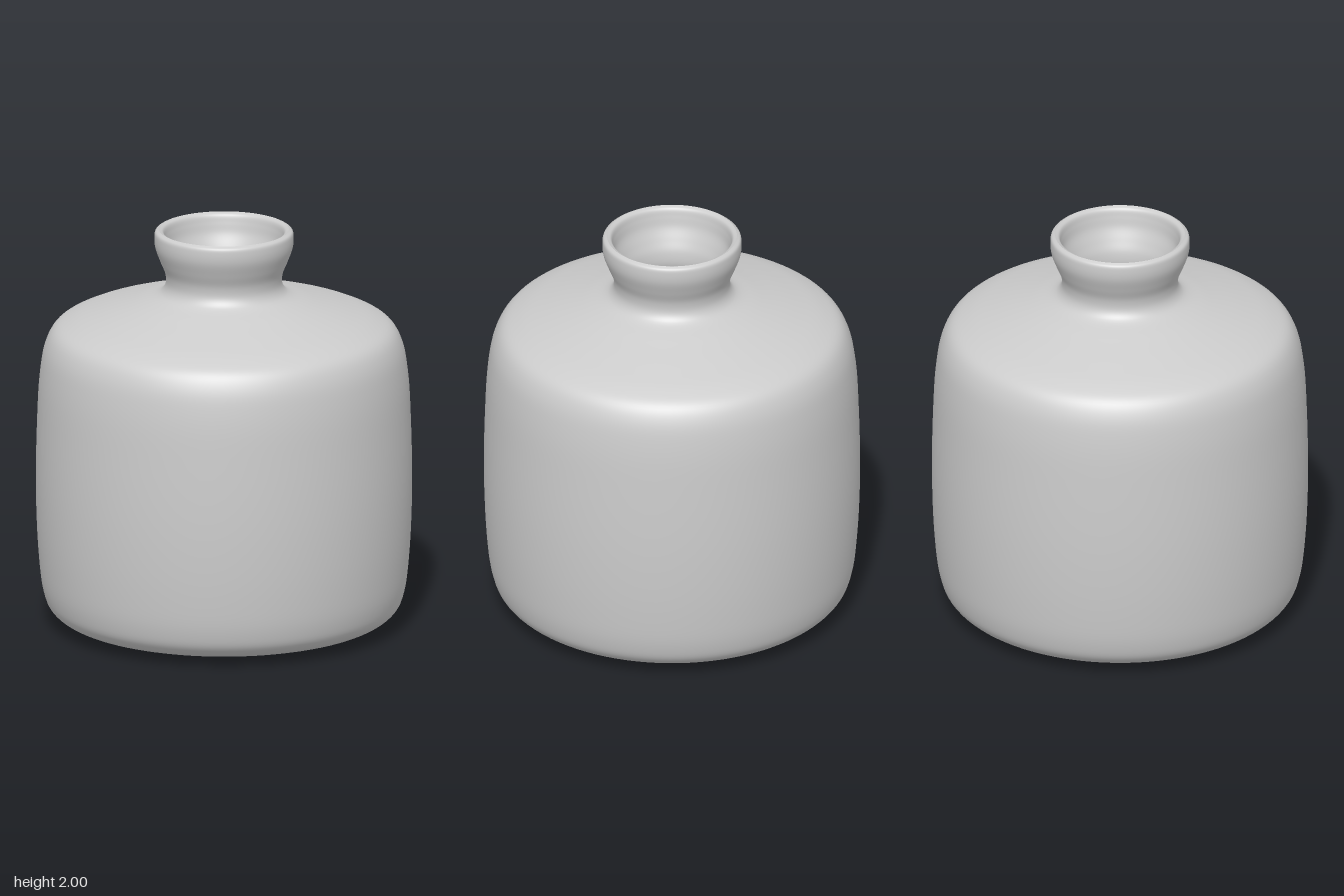
import * as THREE from 'three';

const material = new THREE.MeshStandardMaterial({ color: 0xcccccc });

// Smooth curve through [radius, height] points
function smoothProfile(points, samples) {
  const curve = new THREE.CatmullRomCurve3(
    points.map(([r, y]) => new THREE.Vector3(r, y, 0)), false, 'centripetal');
  return curve.getPoints(samples).map((p) => new THREE.Vector2(Math.max(p.x, 0), p.y));
}

function turned(name, points, samples) {
  const mesh = new THREE.Mesh(
    new THREE.LatheGeometry(smoothProfile(points, samples), 96), material);
  mesh.name = name;
  return mesh;
}

export function createModel() {
  const jar = new THREE.Group();
  jar.name = 'jar';

  // Outside: gently domed base, bulging wall, sloping shoulder, pinched neck, rolled lip
  jar.add(turned('outerWall', [
    [0, 0], [0.33, 0.007], [0.64, 0.023], [0.79, 0.05], [0.855, 0.1], [0.885, 0.18],
    [0.907, 0.36], [0.92, 0.67], [0.915, 1.02], [0.9, 1.28], [0.873, 1.42], [0.83, 1.495],
    [0.75, 1.54], [0.615, 1.585], [0.43, 1.64], [0.315, 1.68], [0.287, 1.72],
    [0.287, 1.775], [0.312, 1.84], [0.337, 1.91], [0.341, 1.96], [0.336, 1.988], [0.318, 2],
  ], 120));

  // Inside: lip, throat and hollow body down to the floor
  jar.add(turned('innerWall', [
    [0.318, 2], [0.298, 1.988], [0.287, 1.95], [0.276, 1.9], [0.25, 1.84], [0.227, 1.78],
    [0.225, 1.71], [0.26, 1.65], [0.4, 1.585], [0.59, 1.53], [0.72, 1.485], [0.785, 1.44],
    [0.815, 1.38], [0.84, 1.26], [0.855, 1.02], [0.86, 0.67], [0.847, 0.36], [0.825, 0.19],
    [0.77, 0.11], [0.63, 0.083], [0.33, 0.067], [0, 0.06],
  ], 120));

  return jar;
}
